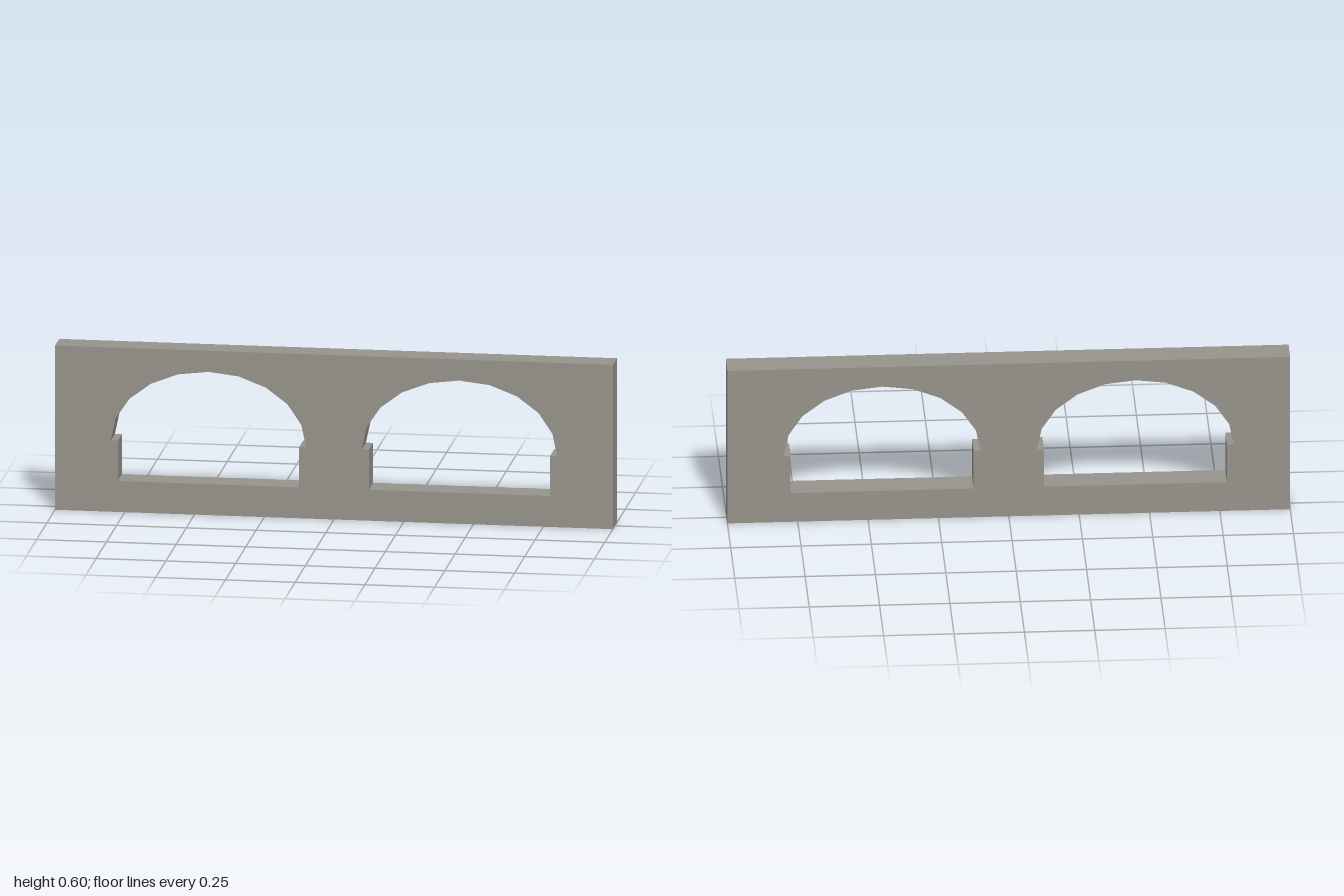
import * as THREE from 'three';

const WIDTH = 2, HEIGHT = 0.6, DEPTH = 0.1;
const SILL = 0.113, SPRING = 0.26;      // bottom of opening, start of arch
const JAMB = 0.325, RX = 0.35, RY = 0.263; // half-widths and arch rise
const STEPS = 10;

// Opening: straight jambs below a slightly wider faceted elliptical arch
function archOpening(cx) {
  const hole = new THREE.Path();
  hole.moveTo(cx - JAMB, SILL);
  hole.lineTo(cx - JAMB, SPRING);
  for (let i = STEPS; i >= 0; i--) {
    const a = (i / STEPS) * Math.PI;
    hole.lineTo(cx + RX * Math.cos(a), SPRING + RY * Math.sin(a));
  }
  hole.lineTo(cx + JAMB, SPRING);
  hole.lineTo(cx + JAMB, SILL);
  hole.closePath();
  return hole;
}

export function createModel() {
  const group = new THREE.Group();
  group.name = 'archedWall';

  const stone = new THREE.MeshStandardMaterial({ color: 0x96928b, flatShading: true });
  stone.name = 'stone grey';

  // Wall slab with two mirrored openings
  const outline = new THREE.Shape();
  outline.moveTo(-WIDTH / 2, 0);
  outline.lineTo(WIDTH / 2, 0);
  outline.lineTo(WIDTH / 2, HEIGHT);
  outline.lineTo(-WIDTH / 2, HEIGHT);
  outline.closePath();
  for (const side of [-1, 1]) outline.holes.push(archOpening(side * 0.45));

  const geometry = new THREE.ExtrudeGeometry(outline, { depth: DEPTH, bevelEnabled: false });
  geometry.translate(0, 0, -DEPTH / 2);

  const wall = new THREE.Mesh(geometry, stone);
  wall.name = 'wall';
  group.add(wall);
  return group;
}
